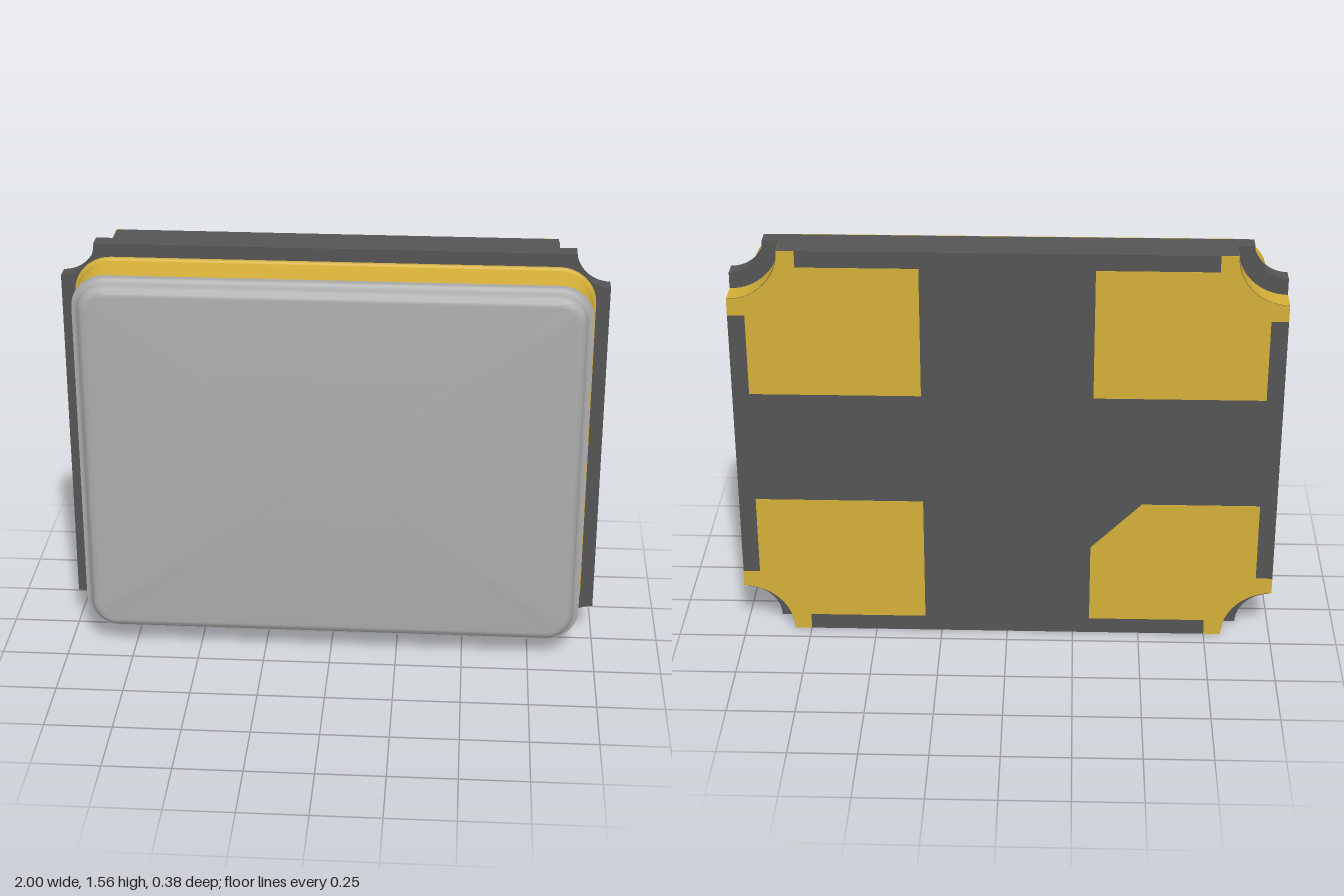
import * as THREE from 'three';
import { toCreasedNormals } from 'three/addons/utils/BufferGeometryUtils.js';

const W = 1, H = 0.78125;                 // half width and half height
const BACK = -0.1875, STEP = -0.094, FRONT = -0.031, SEAM = 0.125;
const NOTCH = 0.1875;                     // corner notch radius of the back layer
const CORNERS = [[-1, 1], [-1, -1], [1, -1], [1, 1]];

const mat = (color) => new THREE.MeshStandardMaterial({ color });
const ceramic = mat(0x555555), gold = mat(0xd4af37), steel = mat(0xadadad);

function add(parent, name, geometry, material) {
  const mesh = new THREE.Mesh(geometry, material);
  mesh.name = name;
  parent.add(mesh);
  return mesh;
}

// Rectangular plate with a concave quarter circle cut from each corner
function notchedPlate(r, z0, z1) {
  const s = new THREE.Shape();
  s.moveTo(-W + r, -H);
  s.lineTo(W - r, -H);
  s.absarc(W, -H, r, Math.PI, Math.PI / 2, true);
  s.lineTo(W, H - r);
  s.absarc(W, H, r, Math.PI * 1.5, Math.PI, true);
  s.lineTo(-W + r, H);
  s.absarc(-W, H, r, 0, -Math.PI / 2, true);
  s.lineTo(-W, -H + r);
  s.absarc(-W, -H, r, Math.PI / 2, 0, true);
  const g = new THREE.ExtrudeGeometry(s, { depth: z1 - z0, bevelEnabled: false, curveSegments: 16 });
  g.translate(0, 0, z0);
  return toCreasedNormals(g, 0.5);
}

// Rounded rectangle swept along a profile of [inset, z], optionally closed in front
function loft(profile, capped) {
  const n = 12, pos = [], index = [];
  const hx = 0.9375, hy = 0.71875, radius = 0.125;
  for (const [inset, z] of profile) {
    const r = radius - inset;
    [[1, 1], [-1, 1], [-1, -1], [1, -1]].forEach(([sx, sy], q) => {
      for (let i = 0; i <= n; i++) {
        const a = (q + i / n) * Math.PI / 2;
        pos.push(sx * (hx - radius) + r * Math.cos(a), sy * (hy - radius) + r * Math.sin(a), z);
      }
    });
  }
  const m = 4 * (n + 1);
  for (let k = 0; k < profile.length - 1; k++) {
    for (let i = 0; i < m; i++) {
      const a = k * m + i, b = k * m + (i + 1) % m;
      index.push(a, b, b + m, a, b + m, a + m);
    }
  }
  if (capped) {
    const last = (profile.length - 1) * m, centre = pos.length / 3;
    pos.push(0, 0, profile.at(-1)[1]);
    for (let i = 0; i < m; i++) index.push(last + i, last + (i + 1) % m, centre);
  }
  const g = new THREE.BufferGeometry();
  g.setAttribute('position', new THREE.Float32BufferAttribute(pos, 3));
  g.setIndex(index);
  return toCreasedNormals(g, 0.6);
}

// Quarter arc of a profile, from one angle parameter to points
const arc = (n, f) => Array.from({ length: n + 1 }, (_, i) => f(i / n * Math.PI / 2));

// Pad outline measured inward from a plate corner, joined to the notch plating
function padShape(sx, sy, chamfered) {
  const pts = [[0.25, 0], [0.25, 0.0625], [0.6875, 0.0625]];
  if (chamfered) pts.push([0.6875, 0.375], [0.5, 0.5625]);
  else pts.push([0.6875, 0.5625]);
  pts.push([0.0625, 0.5625], [0.0625, 0.25], [0, 0.25]);
  pts.push(...arc(16, (a) => [NOTCH * Math.sin(a), NOTCH * Math.cos(a)]));
  return new THREE.Shape(pts.map(([u, v]) => new THREE.Vector2(sx * (W - u), sy * (H - v))));
}

export function createModel() {
  const model = new THREE.Group();
  model.name = 'surfaceMountPackage';
  const body = new THREE.Group();
  body.name = 'body';
  body.position.y = H;
  model.add(body);

  // Two-layer base with stepped corner notches
  add(body, 'baseBackLayer', notchedPlate(NOTCH, BACK, STEP), ceramic);
  add(body, 'baseFrontLayer', notchedPlate(0.125, STEP, FRONT), ceramic);

  // Seal ring with a small fillet against the base
  const f = 0.0125;
  const ringProfile = arc(5, (a) => [-f + f * Math.sin(a), FRONT + f - f * Math.cos(a)]);
  add(body, 'sealRing', loft([...ringProfile, [0, SEAM]], false), gold);

  // Lid: concave foot, then a rounded front edge
  const c = 0.025, r = 0.0375;
  const lidProfile = [
    ...arc(6, (a) => [c * Math.sin(a), SEAM + c - c * Math.cos(a)]),
    ...arc(8, (a) => [c + r - r * Math.cos(a), SEAM + c + r * Math.sin(a)]).slice(1),
  ];
  add(body, 'lid', loft(lidProfile, true), steel);

  // Contact pads on the back and plating in the corner notches
  const plating = gold.clone();
  plating.side = THREE.DoubleSide;
  CORNERS.forEach(([sx, sy], k) => {
    const pad = new THREE.ExtrudeGeometry(padShape(sx, sy, sx < 0 && sy < 0), { depth: 0.0015, bevelEnabled: false });
    pad.translate(0, 0, BACK - 0.0015);
    add(body, 'contactPad' + (k + 1), pad, gold);

    const depth = STEP - BACK;
    const wall = new THREE.CylinderGeometry(NOTCH - 0.0015, NOTCH - 0.0015, depth, 16, 1, true, k * Math.PI / 2, Math.PI / 2);
    wall.rotateX(Math.PI / 2);
    wall.translate(sx * W, sy * H, BACK + depth / 2);
    add(body, 'notchPlating' + (k + 1), wall, plating);
  });
  return model;
}
